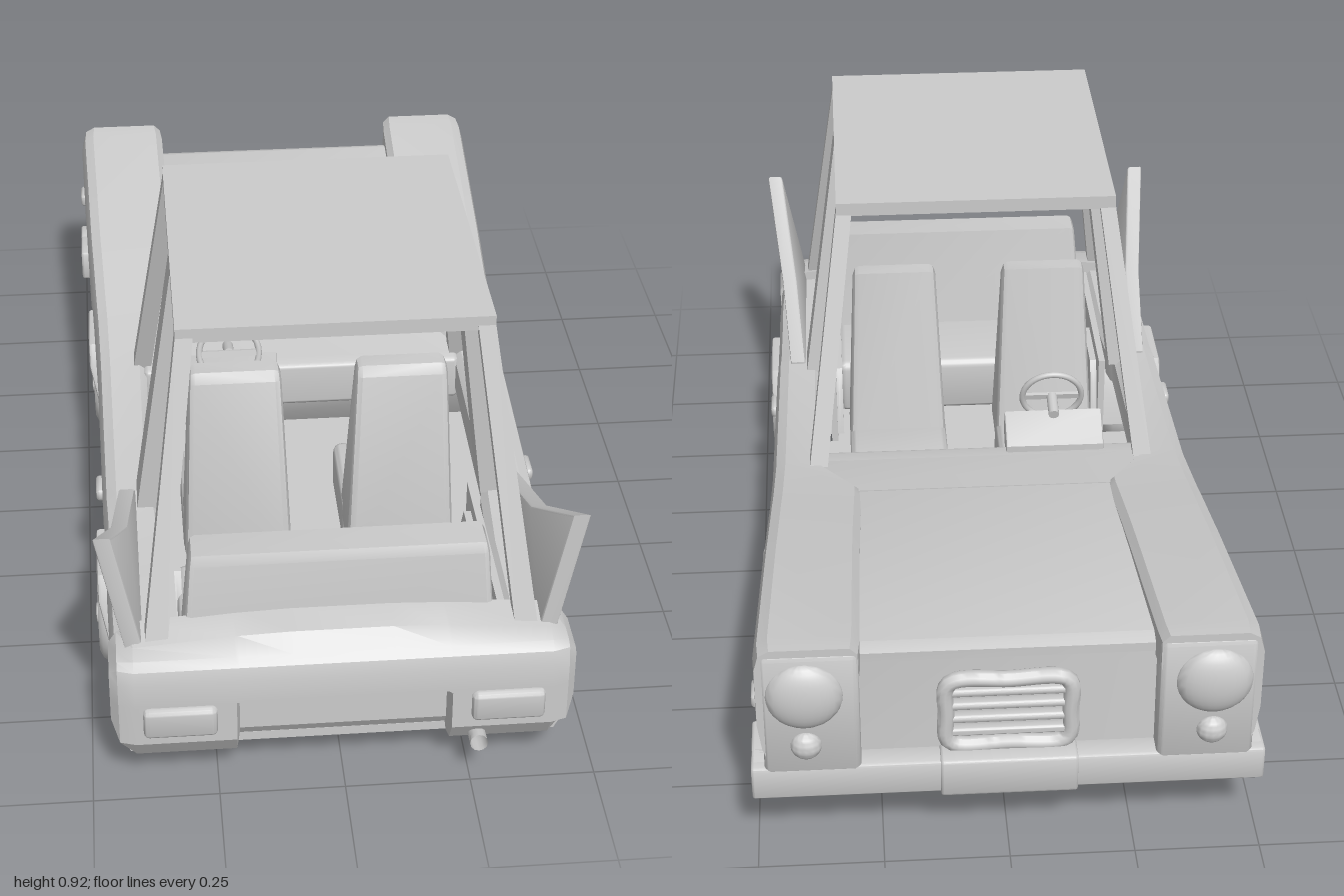
import * as THREE from 'three';
import { toCreasedNormals } from 'three/addons/utils/BufferGeometryUtils.js';
import { RoundedBoxGeometry } from 'three/addons/geometries/RoundedBoxGeometry.js';

const material = new THREE.MeshStandardMaterial({ color: 0xcccccc, side: THREE.DoubleSide });

// Flips a closed geometry when its faces point inward, then sharpens its edges
function finish(geometry, crease = 0.6) {
  const g = geometry.index ? geometry.toNonIndexed() : geometry;
  const p = g.attributes.position, a = new THREE.Vector3(), b = new THREE.Vector3(), c = new THREE.Vector3();
  let volume = 0;
  for (let i = 0; i < p.count; i += 3) {
    a.fromBufferAttribute(p, i); b.fromBufferAttribute(p, i + 1); c.fromBufferAttribute(p, i + 2);
    volume += a.dot(b.cross(c));
  }
  if (volume < 0) for (let i = 0; i < p.count; i += 3) {
    a.fromBufferAttribute(p, i + 1); b.fromBufferAttribute(p, i + 2);
    p.setXYZ(i + 1, b.x, b.y, b.z); p.setXYZ(i + 2, a.x, a.y, a.z);
  }
  return toCreasedNormals(g, crease);
}

// Skins a list of closed rings of [x, y, z] points and caps the ends
function loft(rings) {
  const n = rings[0].length, index = [], last = (rings.length - 1) * n;
  for (let i = 0; i < rings.length - 1; i++) for (let j = 0; j < n; j++) {
    const a = i * n + j, b = i * n + (j + 1) % n;
    index.push(a, b, a + n, b, b + n, a + n);
  }
  for (let j = 1; j < n - 1; j++) index.push(0, j + 1, j, last, last + j, last + j + 1);
  const g = new THREE.BufferGeometry();
  g.setAttribute('position', new THREE.Float32BufferAttribute(rings.flat(2), 3));
  g.setIndex(index);
  return g;
}

// Leaning post between two horizontal rectangles [x, y, z, width, depth]
const post = (...ends) => loft(ends.map(([x, y, z, w, d]) =>
  [[-1, -1], [1, -1], [1, 1], [-1, 1]].map(([i, k]) => [x + i * w / 2, y, z + k * d / 2])));

// Outline of [z, y] points extruded across x from x0 to x1
function across(points, x0, x1, bevel = 0.008) {
  const shape = new THREE.Shape(points.map(([z, y]) => new THREE.Vector2(-z, y)));
  return new THREE.ExtrudeGeometry(shape, {
    depth: x1 - x0 - 2 * bevel, bevelEnabled: bevel > 0, bevelSize: bevel, bevelOffset: -bevel,
    bevelThickness: bevel, bevelSegments: 2,
  }).rotateY(Math.PI / 2).translate(x0 + bevel, 0, 0);
}

const box = (x0, x1, y0, y1, z0, z1, r = 0) => (r
  ? new RoundedBoxGeometry(x1 - x0, y1 - y0, z1 - z0, 3, r)
  : new THREE.BoxGeometry(x1 - x0, y1 - y0, z1 - z0))
  .translate((x0 + x1) / 2, (y0 + y1) / 2, (z0 + z1) / 2);

function bend(g, rule) {
  const p = g.attributes.position, v = new THREE.Vector3();
  for (let i = 0; i < p.count; i++) { rule(v.fromBufferAttribute(p, i)); p.setXYZ(i, v.x, v.y, v.z); }
  return g;
}

export function createModel() {
  const car = new THREE.Group();
  car.name = 'car';
  const add = (name, g, crease) => {
    const mesh = new THREE.Mesh(finish(g, crease), material);
    mesh.name = name;
    car.add(mesh);
  };
  const pair = (name, g, crease) => {
    add(name + 'Left', g.clone(), crease);
    add(name + 'Right', g.clone().scale(-1, 1, 1), crease);
  };

  // Side bodywork with wheel arches: z, bottom, top, inner x, outer x
  const stations = [
    [0.95, 0.08, 0.30, 0.33, 0.452], [0.70, 0.07, 0.31, 0.33, 0.458], [0.68, 0.10, 0.31, 0.33, 0.458],
    [0.63, 0.235, 0.31, 0.33, 0.458], [0.46, 0.235, 0.315, 0.34, 0.46], [0.41, 0.10, 0.32, 0.35, 0.462],
    [0.40, 0.08, 0.32, 0.355, 0.462], [-0.08, 0.065, 0.35, 0.355, 0.467], [-0.22, 0.06, 0.377, 0.27, 0.47],
    [-0.25, 0.10, 0.382, 0.27, 0.471], [-0.30, 0.235, 0.392, 0.272, 0.473], [-0.45, 0.235, 0.42, 0.277, 0.478],
    [-0.50, 0.13, 0.429, 0.278, 0.48], [-0.53, 0.115, 0.434, 0.279, 0.481], [-0.92, 0.20, 0.505, 0.286, 0.491],
    [-0.965, 0.21, 0.508, 0.29, 0.488],
  ];
  pair('sideBody', loft(stations.map(([z, yb, yt, xi, xo]) => {
    const h = yt - yb, lip = Math.max(yt - 0.08, yb + 0.005);
    return [[xo - 0.03, yt], [xo - 0.009, yt - 0.012], [xo, yt - 0.045], [xo, yb + h * 0.4],
      [xo - 0.008, yb + h * 0.2], [xo - 0.03, yb], [xo - 0.05, yb], [xo - 0.05, lip],
      [xi, lip], [xi, yt - 0.015], [xi + 0.015, yt]].map(([x, y]) => [x, y, z]);
  })), 0.5);

  // Wheel arch lips, wheel wells and wheels
  const tyre = [[0, -0.07], [0.075, -0.07], [0.096, -0.062], [0.106, -0.045], [0.11, -0.02], [0.11, 0.02],
    [0.106, 0.045], [0.096, 0.062], [0.08, 0.07], [0.066, 0.066], [0.058, 0.054], [0.052, 0.054], [0.044, 0.06],
    [0.026, 0.064], [0.02, 0.074], [0, 0.076]];
  for (const [name, z, flare] of [['front', -0.37, 0.488], ['rear', 0.54, 0.478]]) {
    const outer = [[0.13, 0.11], [0.108, 0.22], [0.08, 0.268], [-0.08, 0.268], [-0.108, 0.22], [-0.13, 0.11]];
    const inner = [[-0.115, 0.11], [-0.095, 0.20], [-0.075, 0.235], [0.075, 0.235], [0.095, 0.20], [0.115, 0.11]];
    const arch = [...outer, ...inner].map(([dz, y]) => [z + dz, y]);
    pair(name + 'WheelArch', bend(across(arch, 0.43, flare), (v) => { v.x -= Math.max(0, 0.22 - v.y) * 0.2; }));
    pair(name + 'WheelWell', across(arch, 0.315, 0.44, 0));
    pair(name + 'WellWall', across(outer.map(([dz, y]) => [z + dz, y]), 0.305, 0.315, 0));
    pair(name + 'Wheel', new THREE.LatheGeometry(tyre.map(([r, y]) => new THREE.Vector2(r, y)), 32)
      .rotateZ(-Math.PI / 2).translate(0.41, 0.11, z), 0.7);
  }

  // Floor, inner side walls, firewall, cowl and hood
  add('floor', box(-0.42, 0.42, 0.075, 0.095, -0.22, 0.40));
  add('rearFloor', box(-0.33, 0.33, 0.075, 0.095, 0.40, 0.93));
  pair('rearCornerFloor', box(0.33, 0.42, 0.075, 0.095, 0.69, 0.93));
  pair('innerWall', box(0.32, 0.335, 0.08, 0.30, 0.40, 0.92));
  add('firewall', across([[-0.22, 0.075], [-0.20, 0.075], [-0.12, 0.20], [-0.12, 0.35], [-0.15, 0.35], [-0.15, 0.21]], -0.42, 0.42, 0));
  add('cowl', across([[-0.07, 0.32], [-0.07, 0.345], [-0.23, 0.37], [-0.23, 0.34]], -0.37, 0.37, 0.005));
  add('hood', across([[-0.21, 0.335], [-0.21, 0.365], [-0.885, 0.463], [-0.912, 0.453], [-0.912, 0.433]], -0.292, 0.292, 0.006));

  // Nose
  add('nosePanel', across([[-0.89, 0.45], [-0.91, 0.45], [-0.92, 0.20], [-0.895, 0.20]], -0.31, 0.31, 0.003));
  pair('headlightPanel', box(0.289, 0.478, 0.205, 0.495, -0.968, -0.90, 0.012));
  const lens = (x, y, z, r, depth) => new THREE.SphereGeometry(r, 28, 16).scale(1, 1, depth / r).translate(x, y, z);
  pair('headlight', lens(0.395, 0.40, -0.965, 0.075, 0.035), 1);
  pair('signalLight', lens(0.395, 0.28, -0.965, 0.031, 0.026), 1);
  pair('sideMarker', box(0.47, 0.499, 0.335, 0.365, -0.92, -0.86, 0.008));
  const frame = new THREE.CatmullRomCurve3([[-0.115, 0.24], [0, 0.235], [0.115, 0.24], [0.122, 0.31], [0.115, 0.385],
    [0, 0.39], [-0.115, 0.385], [-0.122, 0.31]].map(([x, y]) => new THREE.Vector3(x, y, -0.926)), true);
  add('grilleFrame', new THREE.TubeGeometry(frame, 64, 0.017, 10, true), 1);
  for (let i = 0; i < 4; i++) add('grilleBar', box(-0.115, 0.115, 0.257 + i * 0.032, 0.274 + i * 0.032, -0.935, -0.91, 0.006));
  add('frontBumper', box(-0.505, 0.505, 0.147, 0.222, -0.968, -0.90, 0.006));
  pair('bumperEnd', box(0.44, 0.505, 0.147, 0.222, -0.95, -0.815, 0.006));
  add('bumperCentre', box(-0.135, 0.135, 0.142, 0.228, -0.976, -0.90, 0.006));

  // Tail lofted from side to side, with a central recess: x, recess depth, lowest, highest, pull forward
  const halfTail = [[0.458, 0, 0.165, 0.275, 0.03], [0.442, 0, 0.105, 0.30, 0.01], [0.41, 0, 0.072, 0.35, 0],
    [0.212, 0, 0.072, 0.35, 0], [0.205, 0.035, 0.072, 0.35, 0], [0.1, 0.035, 0.072, 0.35, 0]];
  const tail = [...halfTail, ...halfTail.map(([x, ...rest]) => [-x, ...rest]).reverse()];
  add('tail', loft(tail.map(([x, depth, low, high, pull]) => {
    const crown = 0.345 - 0.13 * x * x;
    return [[0.85, crown], [0.92, crown - 0.01], [0.955, 0.306], [0.972, 0.292], [0.98, 0.265], [0.98, 0.212],
      [0.98 - depth, 0.206], [0.98 - depth, 0.12], [0.95 - depth, 0.072], [0.85, 0.072]]
      .map(([z, y]) => [x, Math.min(high, Math.max(low, y)), z - (z > 0.9 ? pull : 0)]);
  })), 0.5);
  pair('tailLight', box(0.25, 0.395, 0.142, 0.21, 0.965, 0.995, 0.012));
  const pipe = new THREE.CatmullRomCurve3([[0.70, 0.085], [0.82, 0.07], [0.90, 0.073], [0.95, 0.085], [0.998, 0.092]]
    .map(([z, y]) => new THREE.Vector3(0.265, y, z)));
  add('exhaustPipe', new THREE.TubeGeometry(pipe, 24, 0.018, 12), 1);

  // Tail fins lean outward
  pair('tailFin', bend(across([[0.91, 0.30], [0.91, 0.57], [0.65, 0.41], [0.40, 0.325], [0.40, 0.30]], 0.39, 0.425, 0.005),
    (v) => { v.x += Math.max(0, v.y - 0.31) * 0.2; }));

  // Roof and its posts
  add('roof', box(-0.305, 0.305, 0.89, 0.92, 0.065, 0.74));
  pair('frontPost', post([0.365, 0.33, -0.085, 0.04, 0.045], [0.288, 0.90, 0.085, 0.034, 0.035]));
  pair('middlePost', post([0.365, 0.31, 0.41, 0.05, 0.09], [0.286, 0.90, 0.447, 0.038, 0.085]));
  pair('rearPost', post([0.365, 0.30, 0.89, 0.045, 0.045], [0.288, 0.90, 0.725, 0.034, 0.032]));

  // Seats
  pair('frontSeatBack', bend(across([[0.255, 0.15], [0.34, 0.595], [0.38, 0.595], [0.395, 0.575], [0.43, 0.15]], 0.06, 0.29, 0.016),
    (v) => { v.x = 0.175 + (v.x - 0.175) * (1 - 0.9 * Math.max(0, v.y - 0.4)); }));
  pair('frontSeatCushion', box(0.06, 0.29, 0.09, 0.21, 0.08, 0.33, 0.02));
  add('rearSeatBack', bend(across([[0.72, 0.12], [0.775, 0.47], [0.845, 0.47], [0.855, 0.45], [0.865, 0.12]], -0.32, 0.32, 0.012),
    (v) => { v.x *= 1 - Math.max(0, v.y - 0.32) * 0.6; }));
  add('rearSeatCushion', box(-0.315, 0.315, 0.09, 0.23, 0.54, 0.78, 0.02));

  // Dashboard and steering wheel
  add('dashboard', box(-0.36, 0.36, 0.24, 0.345, -0.13, -0.03, 0.01));
  add('instrumentHood', across([[-0.06, 0.33], [-0.06, 0.36], [0.01, 0.41], [0.025, 0.36], [0, 0.33]], -0.28, -0.06, 0.005));
  const steering = new THREE.Group();
  steering.name = 'steeringWheel';
  const rim = new THREE.Mesh(new THREE.TorusGeometry(0.067, 0.007, 10, 36), material);
  const spoke = new THREE.Mesh(new THREE.BoxGeometry(0.13, 0.014, 0.008), material);
  const column = new THREE.Mesh(new THREE.CylinderGeometry(0.012, 0.012, 0.06, 12).rotateX(Math.PI / 2).translate(0, 0, -0.03), material);
  [rim, spoke, column].forEach((m, i) => { m.name = ['rim', 'spoke', 'column'][i]; steering.add(m); });
  steering.position.set(-0.17, 0.43, 0.04);
  steering.rotation.x = -0.25;
  car.add(steering);

  // Door handles
  pair('doorHandle', box(0.45, 0.476, 0.25, 0.278, 0.27, 0.335, 0.008));
  return car;
}
